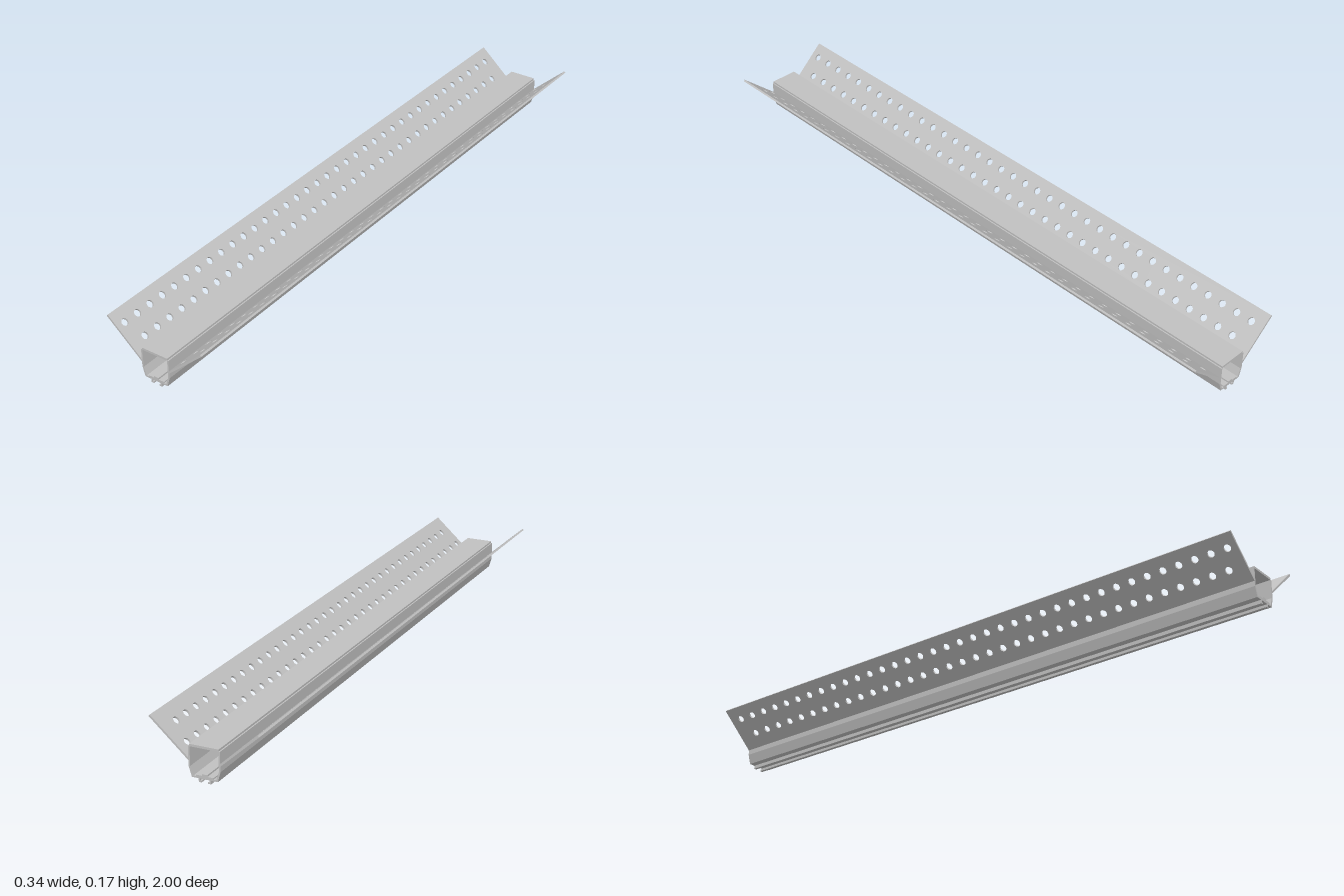
import * as THREE from 'three';

const LENGTH = 2;
const metal = new THREE.MeshStandardMaterial({ color: 0xc0c0c0 });
metal.name = 'light grey metal';

// Extrude a cross-section (x, y points) along the whole length
function profile(name, points) {
  const shape = new THREE.Shape(points.map(([x, y]) => new THREE.Vector2(x, y)));
  const geo = new THREE.ExtrudeGeometry(shape, { depth: LENGTH, bevelEnabled: false });
  geo.translate(0, 0, -LENGTH / 2);
  const mesh = new THREE.Mesh(geo, metal);
  mesh.name = name;
  return mesh;
}

// Lengthwise bar with a rectangular section
const bar = (name, x0, x1, y0, y1) => profile(name, [[x0, y0], [x1, y0], [x1, y1], [x0, y1]]);

// Sloping perforated flange; side is +1 (left) or -1 (right)
function flange(name, side, longRowX, shortRowX) {
  const angle = THREE.MathUtils.degToRad(42), c = Math.cos(angle), s = Math.sin(angle);
  const root = { x: 0.0495, y: 0.0585 }, width = 0.1595, thick = 0.006;
  const shape = new THREE.Shape();
  shape.moveTo(0, -1).lineTo(width, -1).lineTo(width, 1).lineTo(0, 1).closePath();

  // Two staggered rows of round holes
  const pitch = 0.0535;
  for (const [x, count, firstZ] of [[longRowX, 37, -0.957], [shortRowX, 36, -0.93]]) {
    const u = (x - root.x + s * thick / 2) / c;
    for (let i = 0; i < count; i++) {
      const hole = new THREE.Path();
      hole.absarc(u, -side * (firstZ + i * pitch), 0.0112, 0, Math.PI * 2, true);
      shape.holes.push(hole);
    }
  }
  const geo = new THREE.ExtrudeGeometry(shape, { depth: thick, bevelEnabled: false, curveSegments: 16 });
  const m = new THREE.Matrix4().makeBasis(
    new THREE.Vector3(side * c, s, 0),
    new THREE.Vector3(0, 0, -side),
    new THREE.Vector3(-side * s, c, 0)
  ).setPosition(side * root.x, root.y, 0);
  geo.applyMatrix4(m);
  const mesh = new THREE.Mesh(geo, metal);
  mesh.name = name;
  return mesh;
}

export function createModel() {
  const group = new THREE.Group();
  group.name = 'perforatedLightChannel';

  // Open channel with tapered lower walls
  const outer = [[0.049, 0.101], [0.049, 0.042], [0.04, 0.011]];
  const inner = [[0.035, 0.016], [0.044, 0.042], [0.044, 0.101]];
  const half = [...outer].reverse();
  group.add(profile('channel', [
    ...half,
    ...[...inner].reverse(),
    ...inner.map(([x, y]) => [-x, y]),
    ...outer.map(([x, y]) => [-x, y]),
  ]));

  // Cover closing the top of the channel
  group.add(bar('cover', -0.045, 0.045, 0.1, 0.107));

  // Light strip on the channel floor
  group.add(bar('stripBase', -0.027, 0.027, 0.016, 0.02));
  group.add(bar('stripDiodes', -0.008, 0.008, 0.02, 0.025));

  // Hooked mounting rails underneath
  for (const side of [1, -1]) {
    const pts = [[0.01, 0], [0.019, 0], [0.019, 0.012], [0.015, 0.012], [0.015, 0.005], [0.01, 0.005]];
    group.add(profile(side > 0 ? 'leftRail' : 'rightRail', pts.map(([x, y]) => [side * x, y])));
  }

  // Perforated flanges with opposite hole stagger
  group.add(flange('leftFlange', 1, 0.078, 0.126));
  group.add(flange('rightFlange', -1, 0.133, 0.086));
  return group;
}
